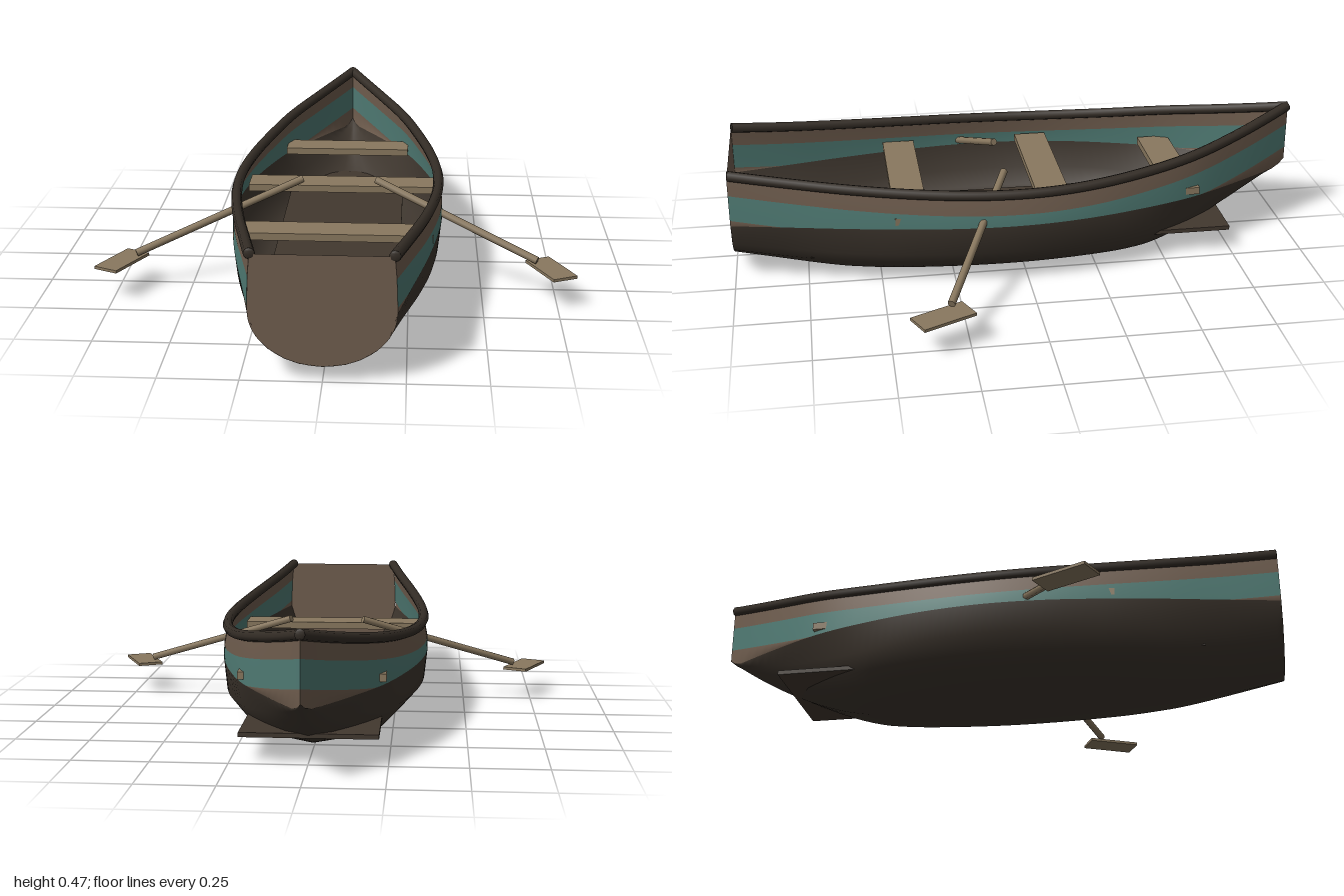
import * as THREE from 'three';

const mat = (name, color, side = THREE.FrontSide) => {
  const m = new THREE.MeshStandardMaterial({ color, side });
  m.name = name;
  return m;
};

// Half beam along the length, from bow (z = -1) to stern (z = 1)
const beam = new THREE.SplineCurve(
  [0, 0.12, 0.225, 0.293, 0.34, 0.363, 0.36, 0.337, 0.303, 0.262, 0.222]
    .map((w, i) => new THREE.Vector2(-1 + i * 0.2, w)));

const keelY = z => z < -0.42 ? 0.25 * ((-z - 0.42) / 0.58) ** 1.7
  : z > 0.6 ? 0.05 * ((z - 0.6) / 0.4) ** 1.6 : 0;
const sheerY = z => 0.335 + (z > 0 ? 0.07 * z ** 1.8 : 0.12 * z * z);

// Lower rows: height fraction below the waterline, half width amidships
const lowerRows = [[0, 0], [0.05, 0.26], [0.14, 0.71], [0.32, 0.83], [0.55, 0.97], [1, 1]];

// Half section [x, y] from keel to sheer: bottom, lower plank, painted band, top plank
function halfSection(t) {
  const p = beam.getPoint(t), z = p.x, w = Math.max(0, p.y);
  const yb = keelY(z), yt = sheerY(z), wl = Math.max(0.225, yb);
  const stern = THREE.MathUtils.smoothstep(z, 0.4, 1);
  const bow = THREE.MathUtils.smoothstep(-z, 0.3, 1);
  const pts = lowerRows.map(([s, mid]) => {
    let f = THREE.MathUtils.lerp(mid, Math.sqrt(1 - (1 - s) ** 2), stern);
    f = THREE.MathUtils.lerp(f, s ** 0.7, bow);
    return [w * f, yb + (wl - yb) * s];
  });
  for (const y of [Math.max(wl, yt - 0.16), yt - 0.07, yt]) {
    pts.push([w * (1 - 0.045 * ((y - wl) / (yt - wl)) ** 2), y]);
  }
  return { z, pts };
}

// Full section from the right sheer, under the keel, to the left sheer
function fullSection(t) {
  const { z, pts } = halfSection(t);
  const right = pts.slice(1).reverse().map(([x, y]) => [-x, y]);
  return { z, ring: [...right, ...pts] };
}

function hullGeometry(columns = 60) {
  const position = [], index = [];
  let rows = 0;
  for (let i = 0; i <= columns; i++) {
    const { z, ring } = fullSection(i / columns);
    rows = ring.length;
    ring.forEach(([x, y]) => position.push(x, y, z));
  }
  const geo = new THREE.BufferGeometry();
  for (let j = 0; j < rows - 1; j++) {
    const start = index.length;
    for (let i = 0; i < columns; i++) {
      const a = i * rows + j, b = a + 1, c = a + rows, d = c + 1;
      index.push(a, b, c, b, d, c);
    }
    // Strips counted from the sheer: top plank, band, lower plank, bottom
    const fromTop = Math.min(j, rows - 2 - j);
    geo.addGroup(start, index.length - start, fromTop === 1 ? 1 : fromTop < 3 ? 0 : 2);
  }
  geo.setAttribute('position', new THREE.Float32BufferAttribute(position, 3));
  geo.setIndex(index);
  geo.computeVertexNormals();
  return geo;
}

export function createModel() {
  const boat = new THREE.Group();
  boat.name = 'rowingBoat';

  const plank = mat('plankBrown', 0x6f5d4e, THREE.DoubleSide);
  const band = mat('bandTeal', 0x4f7a73, THREE.DoubleSide);
  const bottom = mat('bottomDark', 0x3e362e, THREE.DoubleSide);
  const trim = mat('trimDark', 0x342d26);
  const floorWood = mat('floorBrown', 0x42382f);
  const paleWood = mat('paleWood', 0x89785f);

  const add = (name, geo, material, parent = boat) => {
    const m = new THREE.Mesh(geo, material);
    m.name = name;
    parent.add(m);
    return m;
  };

  // Hull shell and flat stern board
  add('hull', hullGeometry(), [plank, band, bottom]);
  const outline = fullSection(1).ring.filter(([, y]) => y > 0.224);
  const shape = new THREE.Shape();
  const half = outline.length / 2;
  outline.slice(0, half).forEach(([x, y], i) => i ? shape.lineTo(x, y) : shape.moveTo(x, y));
  shape.absellipse(0, 0.225, 0.222, 0.175, Math.PI, Math.PI * 2, false);
  outline.slice(half).forEach(([x, y]) => shape.lineTo(x, y));
  add('transom', new THREE.ShapeGeometry(shape, 24), plank).position.z = 0.998;

  // Gunwales along both sheer lines
  for (const side of [-1, 1]) {
    const points = [];
    for (let i = 0; i <= 24; i++) {
      const { z, pts } = halfSection(i / 24);
      const [x, y] = pts[pts.length - 1];
      points.push(new THREE.Vector3(side * x, y, z * 0.995));
    }
    const path = new THREE.CatmullRomCurve3(points);
    const name = side > 0 ? 'leftGunwale' : 'rightGunwale';
    add(name, new THREE.TubeGeometry(path, 60, 0.018, 8), trim);
    for (const end of [points[0], points[24]]) {
      add(name + 'End', new THREE.SphereGeometry(0.018, 8, 6), trim).position.copy(end);
      boat.children[boat.children.length - 1].scale.z = 0.3;
    }
  }

  // Floor board
  add('floor', new THREE.BoxGeometry(0.44, 0.015, 1.48), floorWood).position.y = 0.09;

  // Seats: half width and z
  for (const [name, w, z] of [['bowSeat', 0.237, -0.56], ['middleSeat', 0.335, -0.105], ['sternSeat', 0.33, 0.395]]) {
    add(name, new THREE.BoxGeometry(w * 2, 0.025, 0.115), paleWood).position.set(0, 0.252, z);
  }

  // Oars
  for (const side of [-1, 1]) {
    const oar = new THREE.Group();
    oar.name = side > 0 ? 'leftOar' : 'rightOar';
    const inner = new THREE.Vector3(side * 0.13, 0.325, 0.058);
    const outer = new THREE.Vector3(side * 0.685, 0.128, 0.305);
    const dir = outer.clone().sub(inner);
    const shaft = add('shaft', new THREE.CylinderGeometry(0.013, 0.013, dir.length(), 8), paleWood, oar);
    shaft.position.copy(inner).add(outer).multiplyScalar(0.5);
    shaft.quaternion.setFromUnitVectors(new THREE.Vector3(0, 1, 0), dir.normalize());
    const blade = add('blade', new THREE.BoxGeometry(0.09, 0.01, 0.19), paleWood, oar);
    blade.position.set(side * 0.73, 0.11, 0.335);
    blade.rotation.y = side * 0.44;
    boat.add(oar);
  }
  return boat;
}
